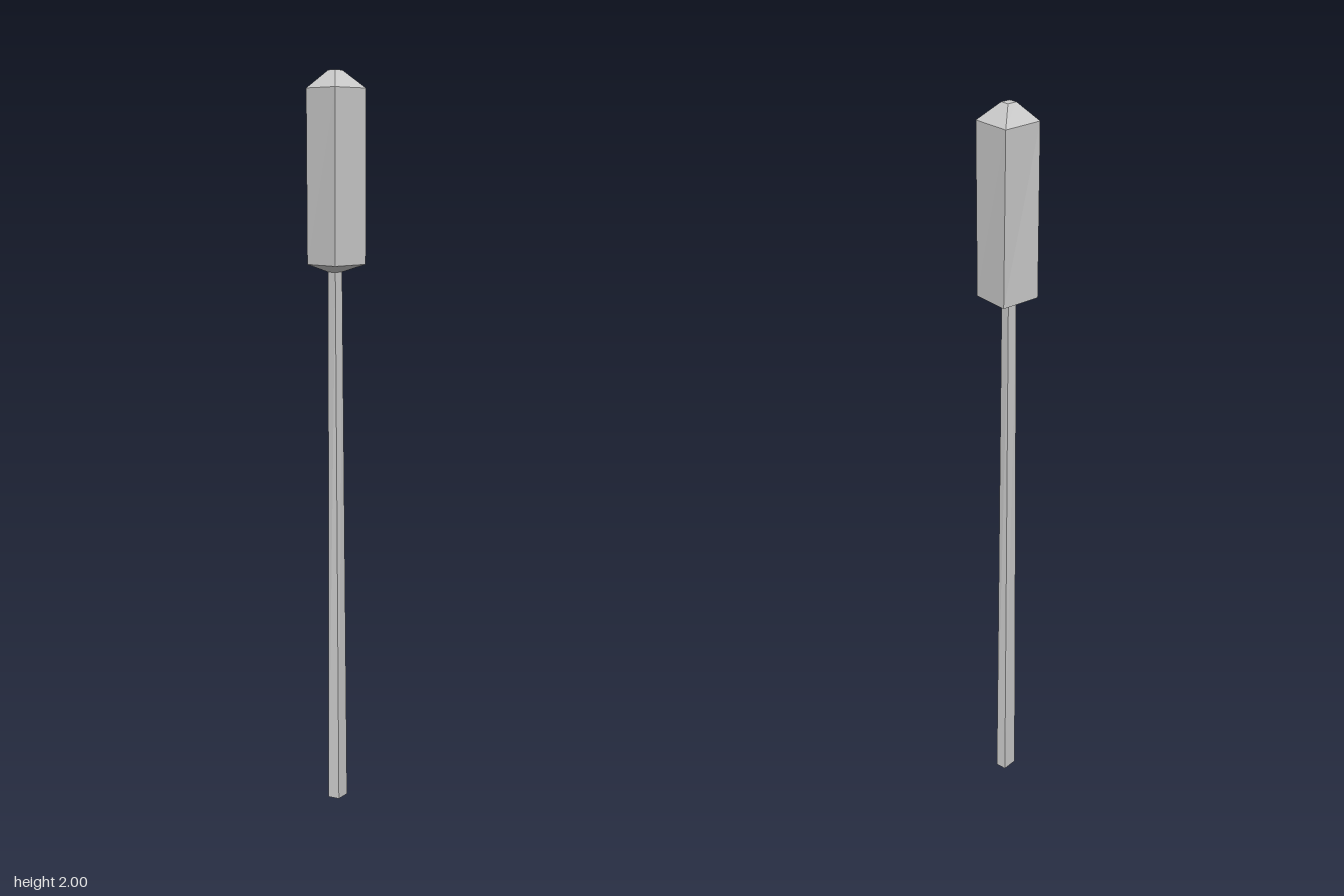
import * as THREE from 'three';

// Lofts four-cornered rings, listed bottom to top. Each ring is [y, corners],
// with corners [x, z] running front -x, front +x, back +x, back -x.
function loft(name, rings) {
  const points = [];
  const index = [];
  for (const [y, corners] of rings) {
    for (const [x, z] of corners) points.push(x, y, z);
  }
  for (let r = 0; r < rings.length - 1; r++) {
    for (let i = 0; i < 4; i++) {
      const a = r * 4 + i;
      const b = r * 4 + (i + 1) % 4;
      index.push(a, b, b + 4, a, b + 4, a + 4);
    }
  }
  // End caps
  const t = (rings.length - 1) * 4;
  index.push(0, 2, 1, 0, 3, 2, t, t + 1, t + 2, t, t + 2, t + 3);

  const indexed = new THREE.BufferGeometry();
  indexed.setAttribute('position', new THREE.Float32BufferAttribute(points, 3));
  indexed.setIndex(index);
  const geometry = indexed.toNonIndexed();
  geometry.computeVertexNormals();
  const material = new THREE.MeshStandardMaterial({ color: 0xcccccc, flatShading: true });
  const mesh = new THREE.Mesh(geometry, material);
  mesh.name = name;
  return mesh;
}

export function createModel() {
  const group = new THREE.Group();
  group.name = 'reed';

  // Neck where the stem meets the head
  const neck = [[-0.013, 0.012], [0.013, 0.011], [0.012, -0.015], [-0.016, -0.012]];

  // Thin leaning stem, slightly twisted and wider at the foot
  group.add(loft('stem', [
    [0, [[0.004, 0.009], [0.043, 0.002], [0.036, -0.028], [-0.008, -0.02]]],
    [1.485, neck],
  ]));

  // Uneven square seed head with a shallow underside and a blunt tip
  group.add(loft('seedHead', [
    [1.485, neck],
    [1.505, [[-0.054, 0.054], [0.057, 0.055], [0.057, -0.053], [-0.056, -0.049]]],
    [1.955, [[-0.055, 0.055], [0.056, 0.054], [0.054, -0.058], [-0.058, -0.049]]],
    [2, [[-0.015, 0.013], [0.012, 0.012], [0.012, -0.014], [-0.016, -0.011]]],
  ]));

  return group;
}
